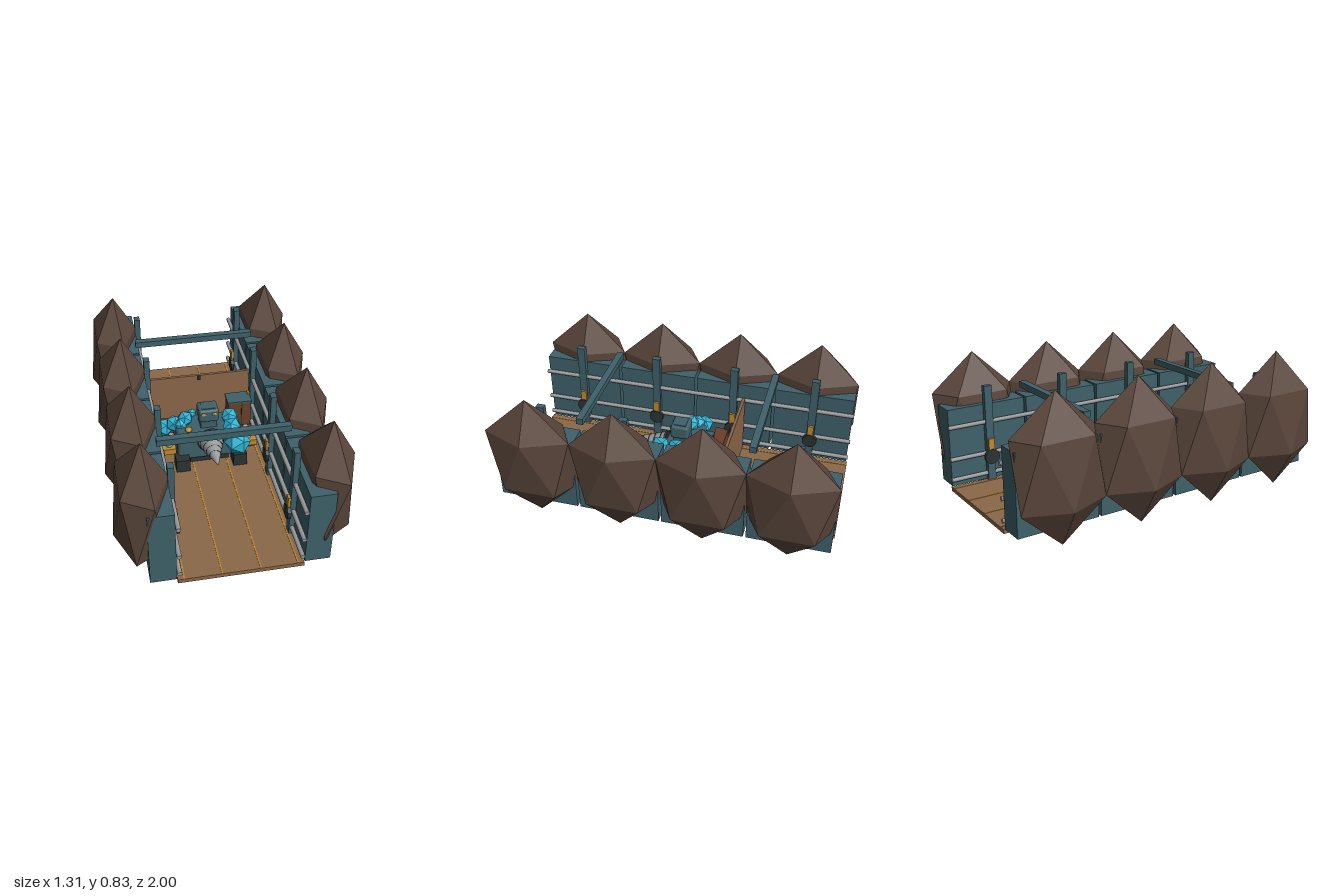
import * as THREE from 'three';
import { RoundedBoxGeometry } from 'three/addons/geometries/RoundedBoxGeometry.js';

const mat = (name, color, flat = true) => {
  const m = new THREE.MeshStandardMaterial({ color, flatShading: flat });
  m.name = name;
  return m;
};

export function createModel() {
  const root = new THREE.Group();
  root.name = 'miningCart';
  const M = {
    rock: mat('rock brown', 0x5a463b),
    wood: mat('plank brown', 0x8b6849),
    rust: mat('rust brown', 0x6b3f2a),
    teal: mat('teal metal', 0x3f616a),
    gold: mat('gold', 0xc08a30),
    cyan: mat('crystal cyan', 0x2fb4d6),
    steel: mat('steel', 0x989a9c, false),
    dark: mat('dark rubber', 0x2b3232),
  };

  const add = (name, geo, m, x = 0, y = 0, z = 0, parent = root) => {
    const mesh = new THREE.Mesh(geo, m);
    mesh.name = name;
    mesh.position.set(x, y, z);
    parent.add(mesh);
    return mesh;
  };
  // box from its min and max along each axis
  const box = (name, m, x0, x1, y0, y1, z0, z1, parent = root) =>
    add(name, new THREE.BoxGeometry(x1 - x0, y1 - y0, z1 - z0), m,
      (x0 + x1) / 2, (y0 + y1) / 2, (z0 + z1) / 2, parent);

  // Floor, with gold seams and a wider slab below the middle
  box('floor', M.wood, -0.345, 0.345, 0.06, 0.085, -1, 1);
  box('underSlab', M.rust, -0.415, 0.415, 0.062, 0.083, -0.38, 0.38);
  for (const x of [-0.31, -0.105, 0.105, 0.31])
    box('floorSeam', M.gold, x - 0.004, x + 0.004, 0.085, 0.088, -1, 1);

  // Bulkhead across the floor
  box('bulkhead', M.wood, -0.325, 0.325, 0.085, 0.47, -0.325, -0.308);
  box('bulkheadLatch', M.dark, -0.008, 0.008, 0.44, 0.472, -0.308, -0.298);

  // Rock plate: icosahedron standing on a vertex, stretched and leaning
  const rockGeo = new THREE.IcosahedronGeometry(1, 0);
  rockGeo.rotateZ(-Math.atan(2 / (1 + Math.sqrt(5))));
  rockGeo.scale(0.163, 0.415, 0.294);
  const p = rockGeo.attributes.position;
  for (let i = 0; i < p.count; i++) p.setX(i, p.getX(i) + 0.048 * p.getY(i));
  rockGeo.computeVertexNormals();

  // Side walls in four sections, each with rock, post and wheel lamp
  const disc = new THREE.CylinderGeometry(0.046, 0.046, 0.02, 12).rotateZ(Math.PI / 2);
  const rail = new THREE.CylinderGeometry(0.013, 0.013, 2, 10).rotateX(Math.PI / 2);
  for (const s of [-1, 1]) {
    const side = new THREE.Group();
    side.name = s > 0 ? 'leftWall' : 'rightWall';
    root.add(side);
    const sBox = (name, m, xa, xb, y0, y1, z0, z1) =>
      box(name, m, Math.min(s * xa, s * xb), Math.max(s * xa, s * xb), y0, y1, z0, z1, side);
    for (const z of [-0.75, -0.25, 0.25, 0.75]) {
      sBox('wallPanel', M.teal, 0.348, 0.49, 0.085, 0.55, z - 0.242, z + 0.242);
      add('rockPlate', rockGeo, M.rock, s * 0.5, 0.416, z, side);
      sBox('post', M.teal, 0.316, 0.351, 0.085, 0.665, z - 0.024, z + 0.024);
      sBox('lampBracket', M.gold, 0.302, 0.318, 0.27, 0.345, z - 0.018, z + 0.018);
      add('lampDisc', disc, M.dark, s * 0.308, 0.235, z, side);
    }
    for (const y of [0.128, 0.253, 0.447]) add('rail', rail, M.steel, s * 0.333, y, 0, side);
  }

  // Overhead beams
  for (const z of [-0.5, 0.5])
    box('crossBeam', M.teal, -0.373, 0.373, 0.608, 0.646, z - 0.02, z + 0.02);

  // Crates beside the machine
  box('tallCrate', M.rust, 0.165, 0.31, 0.085, 0.325, -0.265, -0.165);
  box('tallCrateLid', M.teal, 0.16, 0.315, 0.325, 0.336, -0.27, -0.16);
  box('tallCrateTrim', M.dark, 0.248, 0.254, 0.09, 0.325, -0.165, -0.16);
  box('smallCrate', M.rust, -0.31, -0.1, 0.085, 0.22, -0.23, -0.15);
  box('floorCrate', M.rust, 0.215, 0.31, 0.085, 0.16, -0.15, -0.02);

  // Drilling machine
  const bot = new THREE.Group();
  bot.name = 'drillMachine';
  root.add(bot);
  add('body', new RoundedBoxGeometry(0.4, 0.19, 0.21, 2, 0.02), M.teal, 0, 0.225, -0.01, bot);
  box('neck', M.teal, -0.05, 0.05, 0.31, 0.38, -0.05, 0.04, bot);
  add('head', new RoundedBoxGeometry(0.122, 0.085, 0.11, 2, 0.015), M.teal, 0, 0.412, 0, bot);
  box('headHatch', M.teal, -0.04, 0.04, 0.45, 0.458, -0.035, 0.035, bot);
  box('chassis', M.dark, -0.12, 0.12, 0.09, 0.14, -0.08, 0.07, bot);
  const cone = new THREE.ConeGeometry(0.078, 0.24, 24, 6).rotateX(Math.PI / 2);
  add('drill', cone, M.steel, 0, 0.268, 0.225, bot);
  add('drillCollar', new THREE.CylinderGeometry(0.083, 0.083, 0.014, 24).rotateX(Math.PI / 2),
    M.dark, 0, 0.268, 0.1, bot);
  for (let i = 0; i < 4; i++)
    add('drillRidge', new THREE.TorusGeometry(0.07 - i * 0.012, 0.0025, 4, 24),
      M.dark, 0, 0.268, 0.131 + i * 0.037, bot);
  for (const s of [-1, 1]) {
    const eye = add('eye', new THREE.SphereGeometry(0.018, 12, 8), M.gold, s * 0.033, 0.428, 0.054, bot);
    eye.scale.set(1, 0.55, 0.5);
    const lamp = add('bodyLamp', new THREE.SphereGeometry(0.022, 12, 8), M.gold, s * 0.128, 0.335, 0.06, bot);
    lamp.scale.y = 0.7;
    for (const z of [-0.09, 0.1])
      box('trackBlock', M.dark, s * 0.177 - 0.042, s * 0.177 + 0.042, 0.086, 0.17, z - 0.05, z + 0.05, bot);
    box('hand', M.gold, s * 0.253 - 0.045, s * 0.253 + 0.045, 0.165, 0.205, 0.0, 0.07, bot);
    const arm = add('arm', new THREE.CapsuleGeometry(0.02, 0.075, 4, 10), M.steel, s * 0.238, 0.245, 0.03, bot);
    arm.rotation.z = s * 0.2;
  }

  // Cyan crystals heaped around the machine: x, y, z, radius
  const crystals = [
    [0.148, 0.298, 0.18, 0.08], [0.13, 0.345, 0.1, 0.065], [0.135, 0.36, 0.0, 0.055],
    [-0.135, 0.355, -0.03, 0.05], [-0.2, 0.31, -0.05, 0.055], [-0.262, 0.265, -0.08, 0.06],
    [-0.08, 0.33, -0.11, 0.03], [-0.165, 0.33, -0.01, 0.04],
  ];
  crystals.forEach(([x, y, z, r], i) => {
    const c = add('crystal', new THREE.IcosahedronGeometry(r, 0), M.cyan, x, y, z, bot);
    c.rotation.set(i * 1.3, i * 0.7 + 0.4, i * 0.9);
  });

  return root;
}
